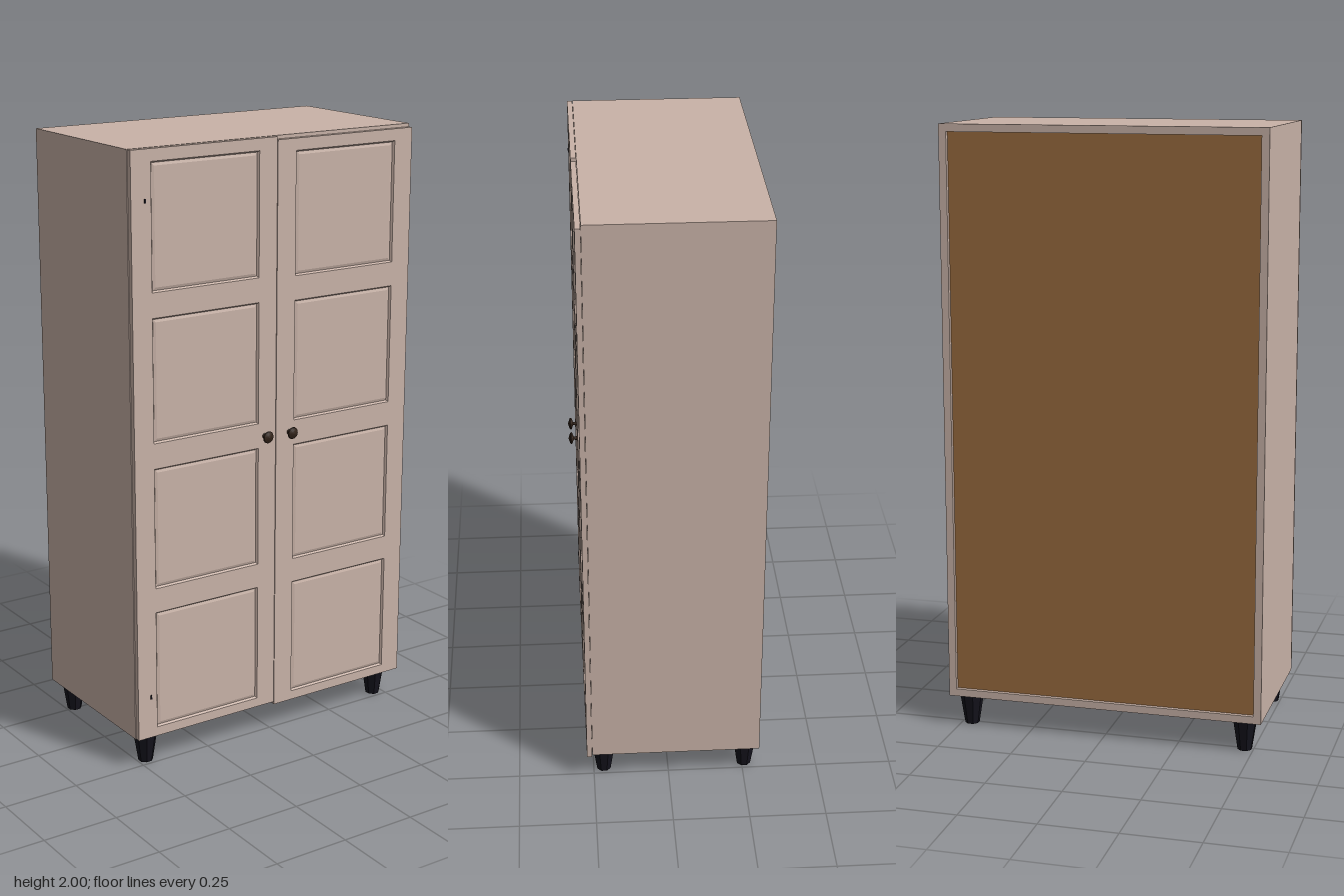
import * as THREE from 'three';

const mat = (color, side = THREE.FrontSide) =>
  new THREE.MeshStandardMaterial({ color, flatShading: true, side });

const BACK = -0.302, CASE_FRONT = 0.255, DOOR_FRONT = 0.273;

export function createModel() {
  const wardrobe = new THREE.Group();
  wardrobe.name = 'wardrobe';
  const paint = mat(0xc9b3a8), backing = mat(0x9a6c3f);
  const dark = mat(0x14131c), bronze = mat(0x33241a);

  const add = (name, geometry, material, x, y, z, parent = wardrobe) => {
    const mesh = new THREE.Mesh(geometry, material);
    mesh.name = name;
    mesh.position.set(x, y, z);
    parent.add(mesh);
    return mesh;
  };
  // Box given by its lower and upper corners
  const board = (name, material, [x0, y0, z0], [x1, y1, z1]) =>
    add(name, new THREE.BoxGeometry(x1 - x0, y1 - y0, z1 - z0), material,
      (x0 + x1) / 2, (y0 + y1) / 2, (z0 + z1) / 2);

  // Carcass, open at the back down to a recessed backing sheet
  const T = 0.025, W = 0.531, Y0 = 0.103, Y1 = 2;
  board('leftSide', paint, [W - T, Y0, BACK], [W, Y1, CASE_FRONT]);
  board('rightSide', paint, [-W, Y0, BACK], [-W + T, Y1, CASE_FRONT]);
  board('top', paint, [-W + T, Y1 - T, BACK], [W - T, Y1, CASE_FRONT]);
  board('bottom', paint, [-W + T, Y0, BACK], [W - T, Y0 + T, CASE_FRONT]);
  board('backPanel', backing, [-W + T, Y0 + T, BACK + 0.014], [W - T, Y1 - T, BACK + 0.02]);

  // Doors, each with four sunken panels; the left one hangs slightly low
  const rect = (P, x0, y0, x1, y1) => {
    const p = new P();
    p.moveTo(x0, y0).lineTo(x1, y0).lineTo(x1, y1).lineTo(x0, y1).closePath();
    return p;
  };
  const panelBottoms = [0.135, 0.612, 1.09, 1.565];
  const PH = 0.396, DEPTH = 0.007, BEVEL = 0.014;

  // Sloped moulding around a flat field, as a shallow tray
  const panelGeometry = (w, h) => {
    const ring = (i, z) => [[-1, -1], [1, -1], [1, 1], [-1, 1]]
      .flatMap(([sx, sy]) => [sx * (w / 2 - i), sy * (h / 2 - i), z]);
    const geometry = new THREE.BufferGeometry();
    geometry.setAttribute('position', new THREE.Float32BufferAttribute(
      [...ring(0, 0), ...ring(BEVEL * 0.35, -DEPTH), ...ring(BEVEL, -DEPTH * 0.6)], 3));
    const index = [];
    for (let r = 0; r < 2; r++) {
      for (let k = 0; k < 4; k++) {
        const a = r * 4 + k, b = r * 4 + (k + 1) % 4;
        index.push(a, b, b + 4, a, b + 4, a + 4);
      }
    }
    index.push(8, 9, 10, 8, 10, 11);
    geometry.setIndex(index);
    const flat = geometry.toNonIndexed();
    flat.computeVertexNormals();
    return flat;
  };

  const makeDoor = (name, x0, x1, px0, px1, drop) => {
    const door = new THREE.Group();
    door.name = name;
    door.position.y = -drop;
    wardrobe.add(door);
    const outline = rect(THREE.Shape, x0, 0.104, x1, 1.999);
    for (const y of panelBottoms) outline.holes.push(rect(THREE.Path, px0, y, px1, y + PH));
    const depth = DOOR_FRONT - CASE_FRONT - 0.001;
    add(name + 'Frame', new THREE.ExtrudeGeometry(outline, { depth, bevelEnabled: false }),
      paint, 0, 0, CASE_FRONT + 0.001, door);
    for (const y of panelBottoms) {
      add(name + 'Panel', panelGeometry(px1 - px0, PH), paint,
        (px0 + px1) / 2, y + PH / 2, DOOR_FRONT, door);
    }
  };
  makeDoor('rightDoor', -0.529, -0.001, -0.459, -0.068, 0);
  makeDoor('leftDoor', 0.001, 0.53, 0.071, 0.46, 0.01);

  // Turned knobs: foot, slim neck and domed disc
  const knobProfile = [[0, 0], [0.009, 0], [0.006, 0.004], [0.005, 0.012], [0.018, 0.017],
    [0.02, 0.02], [0.018, 0.023], [0.008, 0.027], [0, 0.029]]
    .map(([r, h]) => new THREE.Vector2(r, h));
  const knobGeometry = new THREE.LatheGeometry(knobProfile, 16);
  knobGeometry.rotateX(Math.PI / 2);
  add('rightKnob', knobGeometry, bronze, -0.043, 1.046, DOOR_FRONT);
  add('leftKnob', knobGeometry, bronze, 0.053, 1.044, DOOR_FRONT);

  // Small hinge pins showing on the right door
  for (const y of [0.245, 1.845]) {
    add('hingePin', new THREE.BoxGeometry(0.005, 0.014, 0.004), dark, -0.481, y, DOOR_FRONT);
  }

  // Tapered eight-sided feet
  const footGeometry = new THREE.CylinderGeometry(0.04, 0.024, Y0, 8);
  footGeometry.rotateY(Math.PI / 8);
  for (const x of [-0.471, 0.467]) {
    for (const z of [-0.257, 0.216]) add('foot', footGeometry, dark, x, Y0 / 2, z);
  }
  return wardrobe;
}
